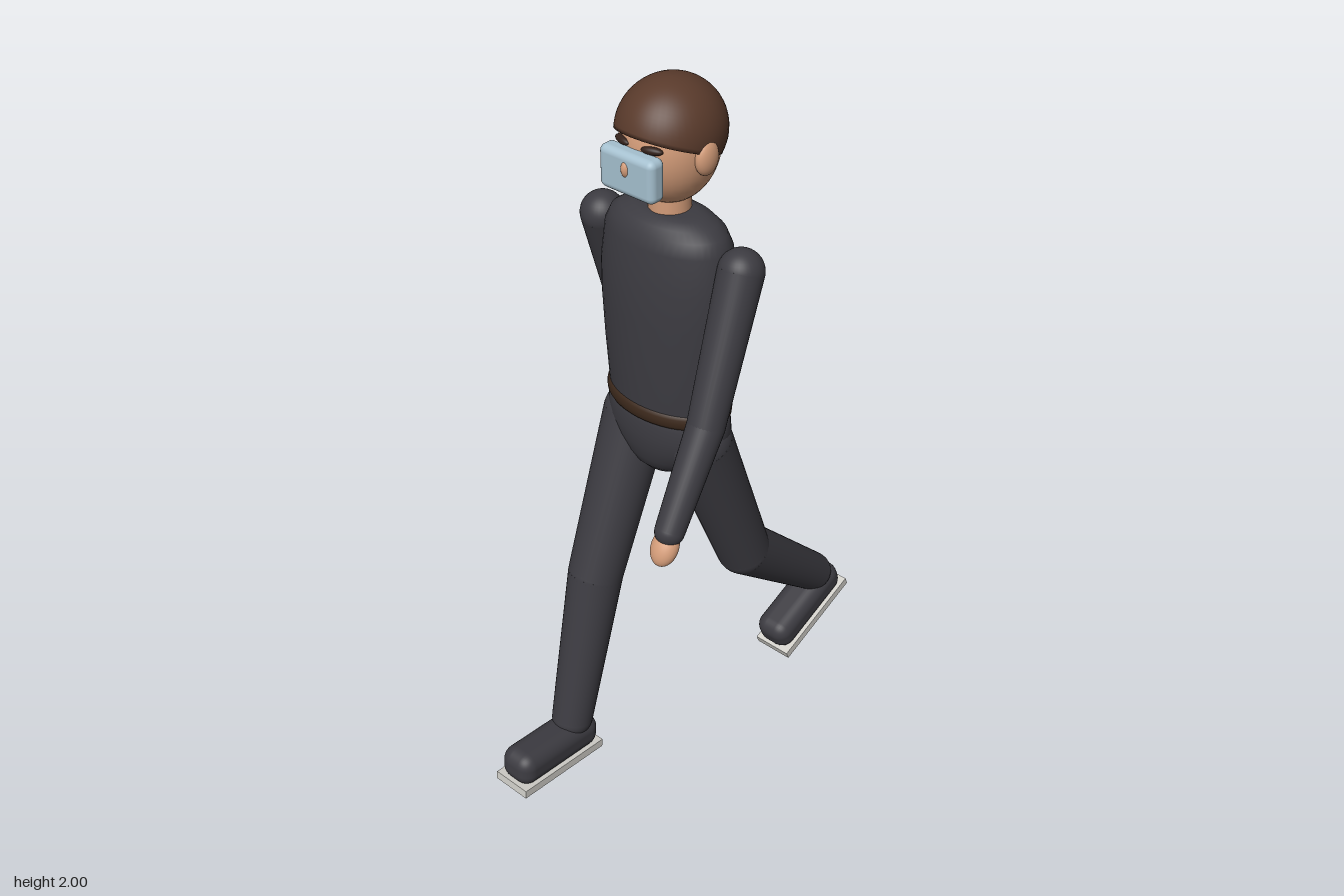
import * as THREE from 'three';
import { mergeVertices } from 'three/addons/utils/BufferGeometryUtils.js';
import { RoundedBoxGeometry } from 'three/addons/geometries/RoundedBoxGeometry.js';

const mat = (name, color) => {
  const m = new THREE.MeshStandardMaterial({ color });
  m.name = name;
  return m;
};

export function createModel() {
  const suit = mat('charcoal suit', 0x3c3b41);
  const skin = mat('skin', 0xd29b78);
  const hairMat = mat('brown hair', 0x593a2b);
  const beltMat = mat('belt leather', 0x3b281b);
  const soleMat = mat('pale sole', 0xd0cec8);
  const visorMat = mat('light blue visor', 0xa5c0cf);
  const browMat = mat('dark brow', 0x33211a);

  const model = new THREE.Group();
  model.name = 'walkingFigure';

  const add = (parent, name, geometry, material, x = 0, y = 0, z = 0) => {
    const mesh = new THREE.Mesh(geometry, material);
    mesh.name = name;
    mesh.position.set(x, y, z);
    parent.add(mesh);
    return mesh;
  };
  const ellipsoid = (rx, ry, rz) => new THREE.SphereGeometry(1, 32, 24).scale(rx, ry, rz);

  // Stack of elliptical rings [y, rx, rz], listed from top to bottom
  const loft = (rings) => {
    const n = rings.length - 1;
    const g = new THREE.CylinderGeometry(1, 1, 1, 48, n);
    const p = g.attributes.position;
    for (let i = 0; i < p.count; i++) {
      const [y, rx, rz] = rings[Math.round((0.5 - p.getY(i)) * n)];
      p.setXYZ(i, p.getX(i) * rx, y, p.getZ(i) * rz);
    }
    g.deleteAttribute('normal');
    g.deleteAttribute('uv');
    const merged = mergeVertices(g);
    merged.computeVertexNormals();
    return merged;
  };

  // Tapered limb segment with rounded joints
  const limb = (name, a, b, ra, rb) => {
    const from = new THREE.Vector3(...a), to = new THREE.Vector3(...b);
    const dir = to.clone().sub(from);
    const group = new THREE.Group();
    group.name = name;
    const tube = add(group, name + 'Sleeve', new THREE.CylinderGeometry(rb, ra, dir.length(), 32), suit);
    tube.position.copy(from).lerp(to, 0.5);
    tube.quaternion.setFromUnitVectors(new THREE.Vector3(0, 1, 0), dir.normalize());
    add(group, name + 'UpperJoint', ellipsoid(ra, ra, ra), suit, ...a);
    add(group, name + 'LowerJoint', ellipsoid(rb, rb * 0.98, rb), suit, ...b);
    model.add(group);
    return tube.quaternion;
  };

  // Torso, pelvis and belt
  add(model, 'torso', loft([
    [1.67, 0.08, 0.045], [1.667, 0.105, 0.062], [1.655, 0.14, 0.082], [1.635, 0.168, 0.098],
    [1.6, 0.185, 0.11], [1.5, 0.198, 0.121], [1.4, 0.197, 0.123], [1.28, 0.19, 0.121],
    [1.15, 0.179, 0.117], [1.11, 0.172, 0.112],
  ]), suit, 0, 0, 0.05);
  add(model, 'pelvis', loft([
    [1.13, 0.172, 0.112], [1.1, 0.183, 0.117], [1.06, 0.187, 0.118], [1.02, 0.175, 0.114],
    [0.98, 0.143, 0.104], [0.95, 0.108, 0.09], [0.93, 0.078, 0.072], [0.918, 0.045, 0.045],
  ]), suit, 0, 0, 0.05);
  add(model, 'belt', loft([
    [1.153, 0.172, 0.112], [1.151, 0.18, 0.119], [1.143, 0.184, 0.123], [1.132, 0.185, 0.124],
    [1.121, 0.184, 0.123], [1.113, 0.18, 0.119], [1.111, 0.172, 0.112],
  ]), beltMat, 0, 0, 0.05);

  // Neck and head
  add(model, 'neck', new THREE.CylinderGeometry(0.052, 0.054, 0.12, 32), skin, 0, 1.69, 0.045);
  add(model, 'head', ellipsoid(0.119, 0.15, 0.127), skin, 0, 1.837, 0.042);
  add(model, 'nose', ellipsoid(0.016, 0.026, 0.024), skin, 0, 1.82, 0.184);
  for (const s of [1, -1]) {
    add(model, s > 0 ? 'leftEar' : 'rightEar', ellipsoid(0.022, 0.045, 0.035), skin, s * 0.119, 1.835, 0.05);
    const brow = add(model, s > 0 ? 'leftBrow' : 'rightBrow', ellipsoid(0.028, 0.01, 0.011), browMat, s * 0.046, 1.866, 0.156);
    brow.rotation.y = s * 0.3;
  }

  // Hair cap: lower edge slopes from the forehead down to the nape, last row tucks in
  const rows = 20;
  const hair = new THREE.SphereGeometry(1, 48, rows);
  const hp = hair.attributes.position;
  for (let i = 0; i < hp.count; i++) {
    const row = Math.floor(i / 49);
    const phi = (i % 49) / 48 * Math.PI * 2;
    const edge = Math.acos((-0.03 + 0.055 * Math.sin(phi)) / 0.132);
    const theta = edge * Math.min(row / (rows - 1), 1);
    const k = row === rows ? 0.84 : 1;
    hp.setXYZ(i, -Math.cos(phi) * Math.sin(theta) * 0.13 * k, Math.cos(theta) * 0.132,
      Math.sin(phi) * Math.sin(theta) * 0.142 * k);
  }
  hair.computeVertexNormals();
  add(model, 'hair', hair, hairMat, 0, 1.868, 0.038);

  // Visor worn over the face
  add(model, 'visor', new RoundedBoxGeometry(0.17, 0.11, 0.05, 4, 0.018), visorMat, 0, 1.805, 0.176);

  // Arms: left swings forward, right swings back
  const arms = [
    { side: 'left', shoulder: [0.225, 1.572, 0.045], elbow: [0.253, 1.22, 0.2], wrist: [0.269, 0.995, 0.35],
      hand: [0.27, 0.958, 0.369], size: [0.036, 0.05, 0.028] },
    { side: 'right', shoulder: [-0.225, 1.572, 0.045], elbow: [-0.247, 1.24, -0.06], wrist: [-0.267, 0.965, -0.082],
      hand: [-0.271, 0.902, -0.087], size: [0.027, 0.05, 0.034] },
  ];
  for (const { side, shoulder, elbow, wrist, hand, size } of arms) {
    limb(side + 'UpperArm', shoulder, elbow, 0.058, 0.048);
    const q = limb(side + 'Forearm', elbow, wrist, 0.048, 0.038);
    add(model, side + 'Hand', ellipsoid(...size), skin, ...hand).quaternion.copy(q);
  }

  // Legs: right steps forward, left pushes off behind
  const legs = [
    { side: 'right', hip: [-0.105, 1.03, 0.06], knee: [-0.111, 0.58, 0.23], ankle: [-0.106, 0.125, 0.35], pitch: -0.093 },
    { side: 'left', hip: [0.105, 1.03, 0.055], knee: [0.115, 0.57, -0.127], ankle: [0.105, 0.26, -0.475], pitch: 0.39 },
  ];
  for (const { side, hip, knee, ankle, pitch } of legs) {
    limb(side + 'Thigh', hip, knee, 0.09, 0.076);
    limb(side + 'Shin', knee, ankle, 0.076, 0.058);
    const foot = new THREE.Group();
    foot.name = side + 'Foot';
    foot.position.set(...ankle);
    foot.rotation.x = pitch;
    add(foot, side + 'Shoe', new RoundedBoxGeometry(0.112, 0.1, 0.3, 5, 0.04), suit, 0, -0.055, 0.085);
    add(foot, side + 'Sole', new THREE.BoxGeometry(0.116, 0.025, 0.306), soleMat, 0, -0.107, 0.085);
    model.add(foot);
  }
  return model;
}
